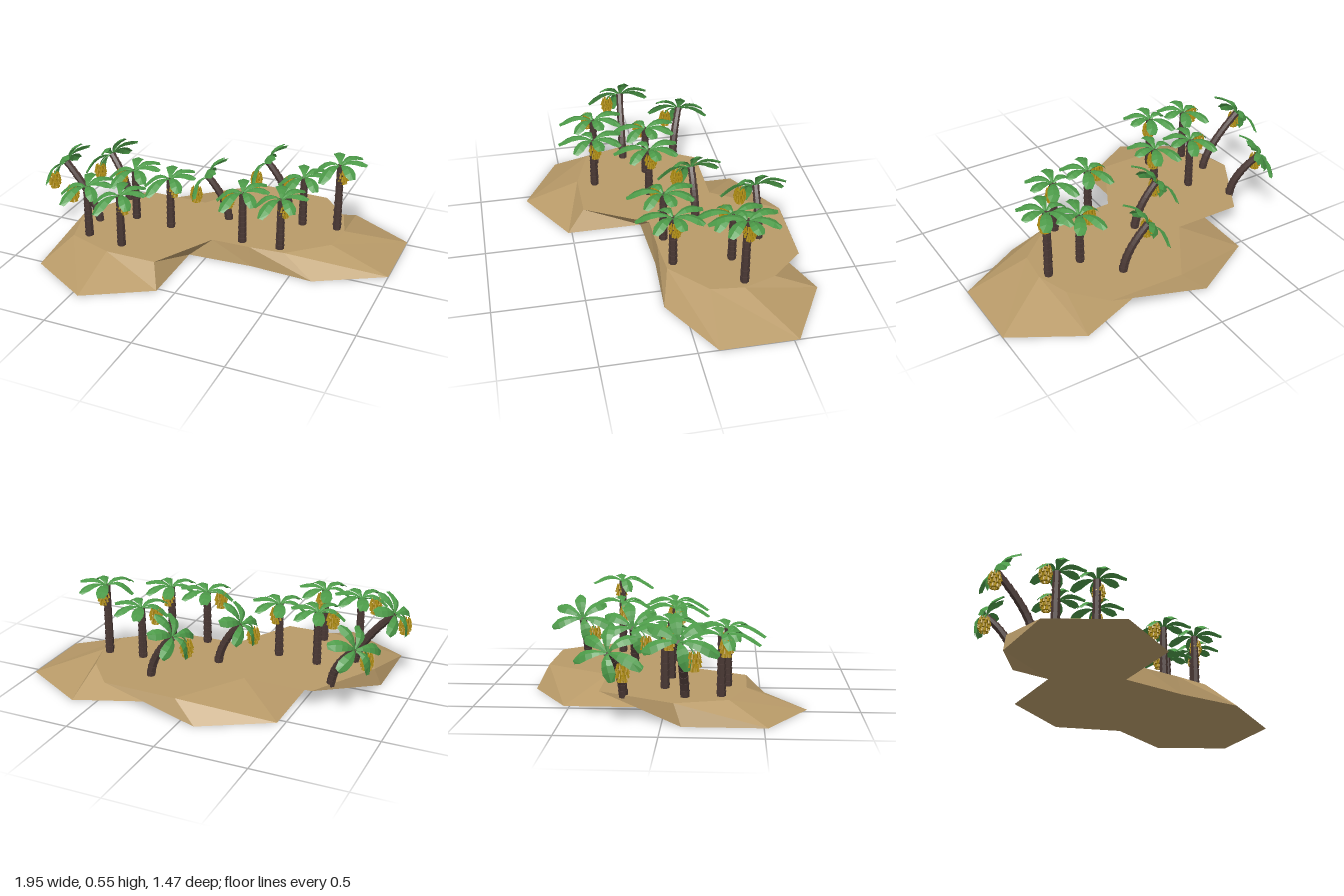
import * as THREE from 'three';
import { mergeGeometries } from 'three/addons/utils/BufferGeometryUtils.js';

const mat = (name, color, opts = {}) => {
  const m = new THREE.MeshStandardMaterial({ color, flatShading: true, ...opts });
  m.name = name;
  return m;
};
const sand = mat('sand', 0xb89a68);
const bark = mat('bark', 0x4c3a36);
const leafGreen = mat('leafGreen', 0x4c9a48, { side: THREE.DoubleSide });
const fruitYellow = mat('fruitYellow', 0xae8c12);

const GROUND = 0.11;
const V = (x, y, z) => new THREE.Vector3(x, y, z);

function add(parent, name, geo, material) {
  const m = new THREE.Mesh(geo, material);
  m.name = name;
  parent.add(m);
  return m;
}

function triangles(points) {
  const g = new THREE.BufferGeometry().setFromPoints(points);
  g.computeVertexNormals();
  return g;
}

// Island: a shore outline lofted to a plateau outline
function islandGeometry() {
  // shore x, z, plateau x, z
  const rows = [
    [-0.46, -0.53, -0.19, -0.33], [-0.09, -0.74, 0.04, -0.69], [0.27, -0.6, 0.46, -0.68],
    [0.63, -0.74, 0.62, -0.5], [1, -0.53, 0.68, -0.32], [1, -0.11, 0.66, -0.14],
    [0.63, 0.1, 0.45, 0.05], [0.27, 0.08, 0.25, 0.065], [-0.1, 0.1, 0.03, 0.07],
    [-0.1, 0.52, -0.16, 0.42], [-0.46, 0.73, -0.45, 0.42], [-0.82, 0.52, -0.71, 0.33],
    [-0.82, 0.1, -0.79, 0.06], [-0.46, -0.11, -0.57, -0.33],
  ];
  const shore = rows.map(r => V(r[0], 0, r[1]));
  const plateau = rows.map(r => V(r[2], GROUND, r[3]));
  const pts = [];
  rows.forEach((_, i) => {
    const j = (i + 1) % rows.length;
    pts.push(shore[i], plateau[i], plateau[j], shore[i], plateau[j], shore[j]);
  });
  const cap = (ring, up) => {
    const flat = ring.map(p => new THREE.Vector2(p.x, p.z));
    for (const [a, b, c] of THREE.ShapeUtils.triangulateShape(flat, [])) {
      const [p, q, r] = [ring[a], ring[b], ring[c]];
      const ny = (q.z - p.z) * (r.x - p.x) - (q.x - p.x) * (r.z - p.z);
      if (ny > 0 === up) pts.push(p, q, r);
      else pts.push(p, r, q);
    }
  };
  cap(plateau, true);
  cap(shore, false);
  return triangles(pts);
}

// Trunk: flared bark collars stacked along a curve
function trunkGeometry(curve) {
  const n = 9, parts = [];
  for (let i = 0; i < n; i++) {
    const a = curve.getPointAt(i / n), b = curve.getPointAt((i + 1) / n);
    const d = b.clone().sub(a), r = 0.023 - 0.004 * (i / n);
    const g = new THREE.CylinderGeometry(r * 1.12, r * 0.95, d.length() * 1.2, 7);
    g.rotateY(i * 0.9);
    g.applyQuaternion(new THREE.Quaternion().setFromUnitVectors(V(0, 1, 0), d.normalize()));
    g.translate(...a.add(b).multiplyScalar(0.5).toArray());
    parts.push(g);
  }
  return mergeGeometries(parts);
}

// Leaf: arched paddle along +x, folded on its midrib
function leafGeometry(length, droop) {
  const widths = [0.004, 0.013, 0.024, 0.031, 0.033, 0.018];
  const rows = widths.map((w, i) => {
    const u = i / (widths.length - 1), x = length * u;
    const y = 0.13 * u - droop * u * u;
    return [V(x, y - w * 0.35, -w), V(x + (u === 1 ? 0.008 : 0), y, 0), V(x, y - w * 0.35, w)];
  });
  const pts = [];
  for (let i = 0; i < rows.length - 1; i++) {
    for (let k = 0; k < 2; k++) {
      const a = rows[i][k], b = rows[i][k + 1], c = rows[i + 1][k + 1], d = rows[i + 1][k];
      pts.push(a, b, c, a, c, d);
    }
  }
  return triangles(pts);
}

// Crown: leaf tips as x, z, droop
const TIPS = [
  [-0.06, -0.165, 0.13], [0.075, -0.15, 0.13], [0.14, -0.03, 0.11],
  [0.105, 0.115, 0.14], [-0.05, 0.19, 0.16], [-0.13, 0.05, 0.17],
];
const crownGeometry = mergeGeometries(TIPS.map(([x, z, droop]) =>
  leafGeometry(Math.hypot(x, z), droop).rotateY(Math.atan2(-z, x))));

// Fruit bunch: tiers of small upturned fruits round a core
function bunchGeometry() {
  const parts = [new THREE.CylinderGeometry(0.018, 0.012, 0.07, 6)];
  [0.025, 0.03, 0.027, 0.018].forEach((r, tier) => {
    for (let k = 0; k < 9; k++) {
      const g = new THREE.CylinderGeometry(0.003, 0.0075, 0.028, 5);
      g.rotateZ(0.15).translate(r, 0.03 - tier * 0.021, 0);
      parts.push(g.rotateY((k + tier * 0.5) * Math.PI * 2 / 9));
    }
  });
  return mergeGeometries(parts);
}

export function createModel() {
  const model = new THREE.Group();
  model.name = 'palmIsland';
  add(model, 'island', islandGeometry(), sand);
  const bunch = bunchGeometry();

  function tree(name, curve, tilt, yaw, fruit) {
    const g = new THREE.Group();
    g.name = name;
    const top = curve.getPoint(1);
    add(g, 'trunk', trunkGeometry(curve), bark);
    const crown = add(g, 'leaves', crownGeometry, leafGreen);
    crown.position.copy(top);
    crown.rotation.set(0, yaw, tilt);
    const b = add(g, 'fruitBunch', bunch, fruitYellow);
    b.position.copy(top).add(V(...fruit));
    const end = top.clone().add(V(fruit[0], fruit[1] + 0.035, fruit[2]));
    const mid = top.clone().add(V(fruit[0] * 0.7, 0.01, fruit[2] * 0.7));
    const stem = new THREE.QuadraticBezierCurve3(top, mid, end);
    add(g, 'fruitStem', new THREE.TubeGeometry(stem, 4, 0.004, 5), leafGreen);
    model.add(g);
  }

  // Upright trees: x, z, crown height, whether the fruit hangs out to the side
  [
    [-0.48, 0, 0.41, true], [-0.25, 0.02, 0.41, false], [-0.63, 0.29, 0.41, true],
    [-0.41, 0.32, 0.41, false], [0.19, 0.02, 0.41, true], [0.41, 0.01, 0.41, false],
    [0.43, -0.31, 0.4, true], [0.63, -0.33, 0.505, false],
  ].forEach(([x, z, h, side]) => tree('uprightTree',
    new THREE.LineCurve3(V(x, GROUND - 0.01, z), V(x, h, z)), 0, 0,
    side ? [-0.075, -0.04, 0.025] : [0.015, -0.06, -0.01]));

  // Leaning trees: base x, z, crown x, y, z
  [
    [0.28, -0.5, 0.14, 0.36, -0.51], [0.02, -0.2, -0.11, 0.355, -0.2],
    [-0.63, -0.2, -0.77, 0.35, -0.26], [-0.66, 0.11, -0.87, 0.43, 0.09],
  ].forEach(([x, z, cx, cy, cz]) => {
    const bend = V(x - 0.01, GROUND + 0.12, z);
    const curve = new THREE.QuadraticBezierCurve3(V(x, GROUND - 0.01, z), bend, V(cx, cy, cz));
    tree('leaningTree', curve, 0.85, Math.atan2(z - cz, cx - x) - Math.PI, [-0.045, -0.085, 0.075]);
  });
  return model;
}
